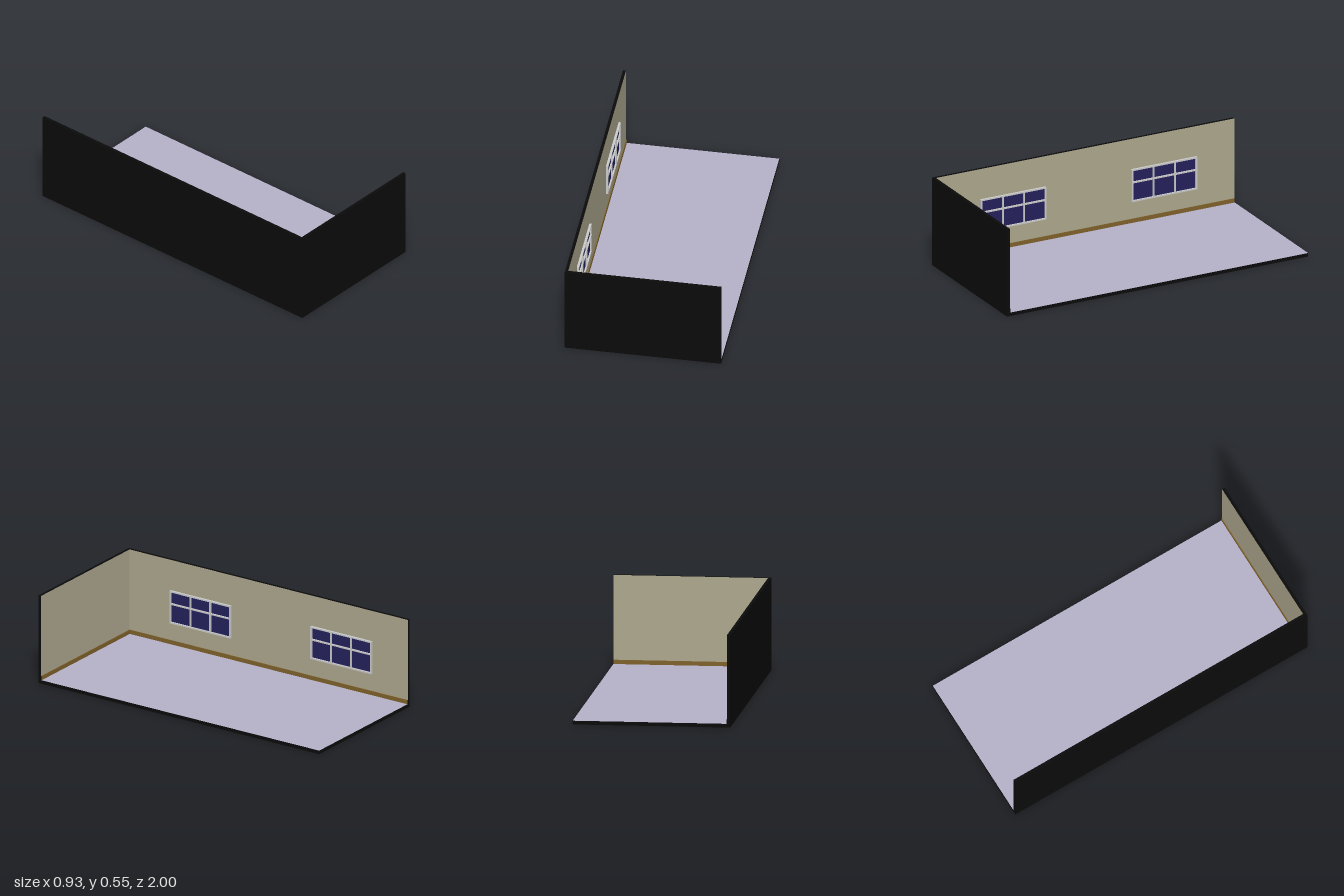
import * as THREE from 'three';

const mat = (color) => new THREE.MeshStandardMaterial({ color });
const black = mat(0x0b0b0b);
const wallPaint = mat(0xada88e);
const floorPaint = mat(0xb5b2ca);
const wood = mat(0x80622c);
const glass = mat(0x24215c);
const frameGrey = mat(0xcccccc);

// Box from min/max corners; painted maps face index (+x -x +y -y +z -z) to a material
function box(name, min, max, base, painted = {}) {
  const size = max.map((v, i) => v - min[i]);
  const materials = [0, 1, 2, 3, 4, 5].map((i) => painted[i] || base);
  const mesh = new THREE.Mesh(
    new THREE.BoxGeometry(...size),
    Object.keys(painted).length ? materials : base
  );
  mesh.position.set(...max.map((v, i) => (v + min[i]) / 2));
  mesh.name = name;
  return mesh;
}

const W = 0.464; // half width
const H = 0.55; // wall height
const T = 0.018; // wall thickness
const F = 0.022; // floor thickness
const B = 0.005; // baseboard depth
const BASE_TOP = 0.047;
const INNER_X = -W + T;
const INNER_Z = 1 - T;

// Six-pane window on the inner face of the side wall
function createWindow(zCentre) {
  const g = new THREE.Group();
  g.name = 'window';
  const half = 0.217, y0 = 0.156, y1 = 0.36, bar = 0.009, midY = 0.278;
  const x0 = INNER_X, x1 = INNER_X + 0.014;

  g.add(box('windowGlass', [x0, y0 + 0.002, -half + 0.002], [x0 + 0.004, y1 - 0.002, half - 0.002], glass));

  // Rails: sill, crossbar and head
  for (const y of [y0, midY - bar / 2, y1 - bar]) {
    g.add(box('windowRail', [x0, y, -half], [x1, y + bar, half], frameGrey));
  }
  // Stiles and mullions
  for (let i = 0; i < 4; i++) {
    const z = -half + (i * (2 * half - bar)) / 3;
    g.add(box('windowStile', [x0, y0, z], [x1 - 0.0005, y1, z + bar], frameGrey));
  }
  g.position.z = zCentre;
  return g;
}

export function createModel() {
  const model = new THREE.Group();
  model.name = 'room';

  // Floor slab with dark edges
  model.add(box('floor', [INNER_X, 0, -1], [W, F, INNER_Z], black, { 2: floorPaint, 3: floorPaint }));

  // Walls painted on the inside only; undersides match the floor
  model.add(box('sideWall', [-W, 0, -1], [INNER_X, H, INNER_Z], black, { 0: wallPaint, 3: floorPaint }));
  model.add(box('frontWall', [-W, 0, INNER_Z], [W, H, 1], black, { 3: floorPaint, 5: wallPaint }));

  // Baseboards along both walls
  model.add(box('sideBaseboard', [INNER_X, F, -1], [INNER_X + B, BASE_TOP, INNER_Z], black, { 0: wood, 2: wood }));
  model.add(box('frontBaseboard', [INNER_X + B, F, INNER_Z - B], [W, BASE_TOP, INNER_Z], black, { 2: wood, 5: wood }));

  // Two windows in the side wall
  for (const z of [0.472, -0.53]) model.add(createWindow(z));

  return model;
}
